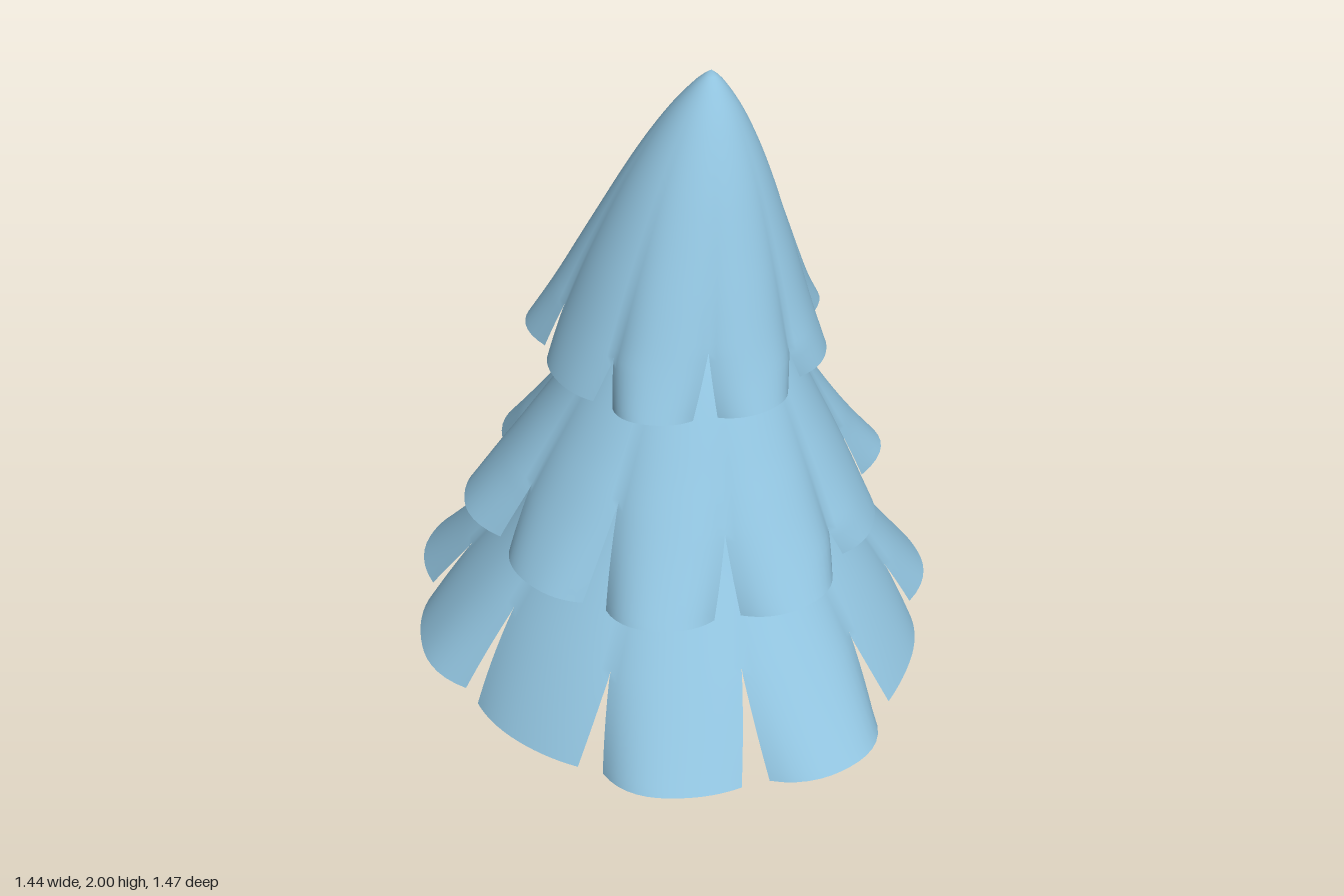
import * as THREE from 'three';
import { mergeVertices } from 'three/addons/utils/BufferGeometryUtils.js';

const foliage = new THREE.MeshStandardMaterial({ name: 'blue foliage', color: 0x90c2dd, side: THREE.DoubleSide });
const bark = new THREE.MeshStandardMaterial({ name: 'brown bark', color: 0xb47260 });

const ROWS = 40, COLS = 14;
const rad = THREE.MathUtils.degToRad;

// Branch tiers: profile as [radius, y] from top to hem, axis [x, z] at top and hem, notch half width
// in degrees, drawn-in share of the lobe sides, and notches as [angle from +x towards +z, tip height,
// hem radius of the lobe that follows].
const lowerTier = {
  name: 'lowerBranches', halfWidth: 3, pinch: 0.94, top: [0.045, -0.02], hem: [0, 0],
  profile: [[0.05, 1.12], [0.24, 1.0], [0.4, 0.8], [0.56, 0.6], [0.72, 0.39]],
  notches: [
    [-102.5, 0.61, 0.74], [-68, 0.5, 0.785], [-34, 0.62, 0.74], [2, 0.54, 0.685], [37, 0.57, 0.78],
    [73, 0.62, 0.73], [109, 0.6, 0.655], [147, 0.62, 0.71], [184, 0.56, 0.76], [221, 0.56, 0.69]],
};
const middleTier = {
  name: 'middleBranches', halfWidth: 3.9, pinch: 0.9, top: [0.065, -0.04], hem: [0.005, 0.02],
  profile: [[0.05, 1.5], [0.22, 1.31], [0.37, 1.08], [0.46, 0.94], [0.55, 0.805]],
  notches: [
    [-82, 0.9, 0.585], [-42, 0.93, 0.605], [-5, 0.98, 0.535], [33, 0.88, 0.56], [75, 0.98, 0.545],
    [115, 1.03, 0.515], [156, 0.95, 0.56], [200, 0.92, 0.58], [242, 0.98, 0.56]],
};
const topTier = {
  name: 'topBranches', halfWidth: 5, pinch: 0.9, top: [0.088, -0.032], hem: [0.005, 0.012],
  profile: [[0, 2], [0.035, 1.97], [0.095, 1.89], [0.165, 1.765], [0.25, 1.58], [0.32, 1.42], [0.38, 1.295]],
  notches: [
    [-95, 1.36, 0.39], [-51, 1.37, 0.418], [-11, 1.46, 0.38], [33, 1.37, 0.385],
    [78, 1.44, 0.375], [123, 1.4, 0.335], [172, 1.42, 0.39], [221, 1.43, 0.385]],
};

// Bent cone shell whose hem is cut into uneven rounded lobes by V-shaped notches
function tierGeometry({ profile, notches, halfWidth, pinch, top, hem }) {
  const rows = new THREE.SplineCurve(profile.map(p => new THREE.Vector2(...p))).getSpacedPoints(ROWS);
  const yTop = rows[0].y, { x: hemRadius, y: yHem } = rows[ROWS];
  const positions = [], indices = [];
  const count = notches.length;
  const inset = (tip, y) => halfWidth * Math.max(0, (tip - y) / (tip - yHem));
  // Hem radius beside a notch, from the two lobes that meet there
  const sideRadius = i => pinch * (notches[i % count][2] + notches[(i + count - 1) % count][2]) / 2;

  notches.forEach(([start, startTip, lobeRadius], i) => {
    const [next, endTip] = notches[(i + 1) % count];
    const end = next > start ? next : next + 360;
    const base = positions.length / 3;
    rows.forEach(({ x: radius, y }, r) => {
      const t = (yTop - y) / (yTop - yHem);
      const a0 = start + inset(startTip, y), a1 = end - inset(endTip, y);
      for (let c = 0; c <= COLS; c++) {
        const u = c / COLS;
        const a = rad(a0 + (a1 - a0) * u);
        // Towards the hem the radius follows the lobe; parts that spread out also rise a little
        const side = sideRadius(u < 0.5 ? i : i + 1);
        const target = lobeRadius + (side - lobeRadius) * Math.abs(2 * u - 1) ** 2.4;
        const spread = radius * (target / hemRadius - 1) * t * t;
        positions.push(
          top[0] + (hem[0] - top[0]) * t + (radius + spread) * Math.cos(a),
          y + 0.3 * spread,
          top[1] + (hem[1] - top[1]) * t + (radius + spread) * Math.sin(a));
        if (r < ROWS && c < COLS) {
          const p = base + r * (COLS + 1) + c, q = p + COLS + 1;
          indices.push(p, p + 1, q, p + 1, q + 1, q);
        }
      }
    });
  });

  const geometry = new THREE.BufferGeometry();
  geometry.setAttribute('position', new THREE.Float32BufferAttribute(positions, 3));
  geometry.setIndex(indices);
  const merged = mergeVertices(geometry, 1e-4);
  merged.computeVertexNormals();
  return merged;
}

// Flared trunk that leans slightly as it rises
function trunkGeometry() {
  const profile = [[0, 0], [0.126, 0], [0.133, 0.015], [0.136, 0.06], [0.129, 0.13], [0.112, 0.2],
    [0.094, 0.27], [0.086, 0.31], [0.083, 0.42], [0.07, 0.9], [0.045, 1.6], [0, 1.68]];
  const geometry = new THREE.LatheGeometry(profile.map(p => new THREE.Vector2(...p)), 32);
  const pos = geometry.attributes.position;
  for (let i = 0; i < pos.count; i++) {
    const lean = (pos.getY(i) / 1.6) ** 2;
    pos.setX(i, pos.getX(i) + 0.016 + 0.035 * lean);
    pos.setZ(i, pos.getZ(i) - 0.004 - 0.02 * lean);
  }
  return geometry;
}

export function createModel() {
  const tree = new THREE.Group();
  tree.name = 'tree';

  const trunk = new THREE.Mesh(trunkGeometry(), bark);
  trunk.name = 'trunk';
  tree.add(trunk);

  for (const tier of [lowerTier, middleTier, topTier]) {
    const mesh = new THREE.Mesh(tierGeometry(tier), foliage);
    mesh.name = tier.name;
    tree.add(mesh);
  }
  return tree;
}
